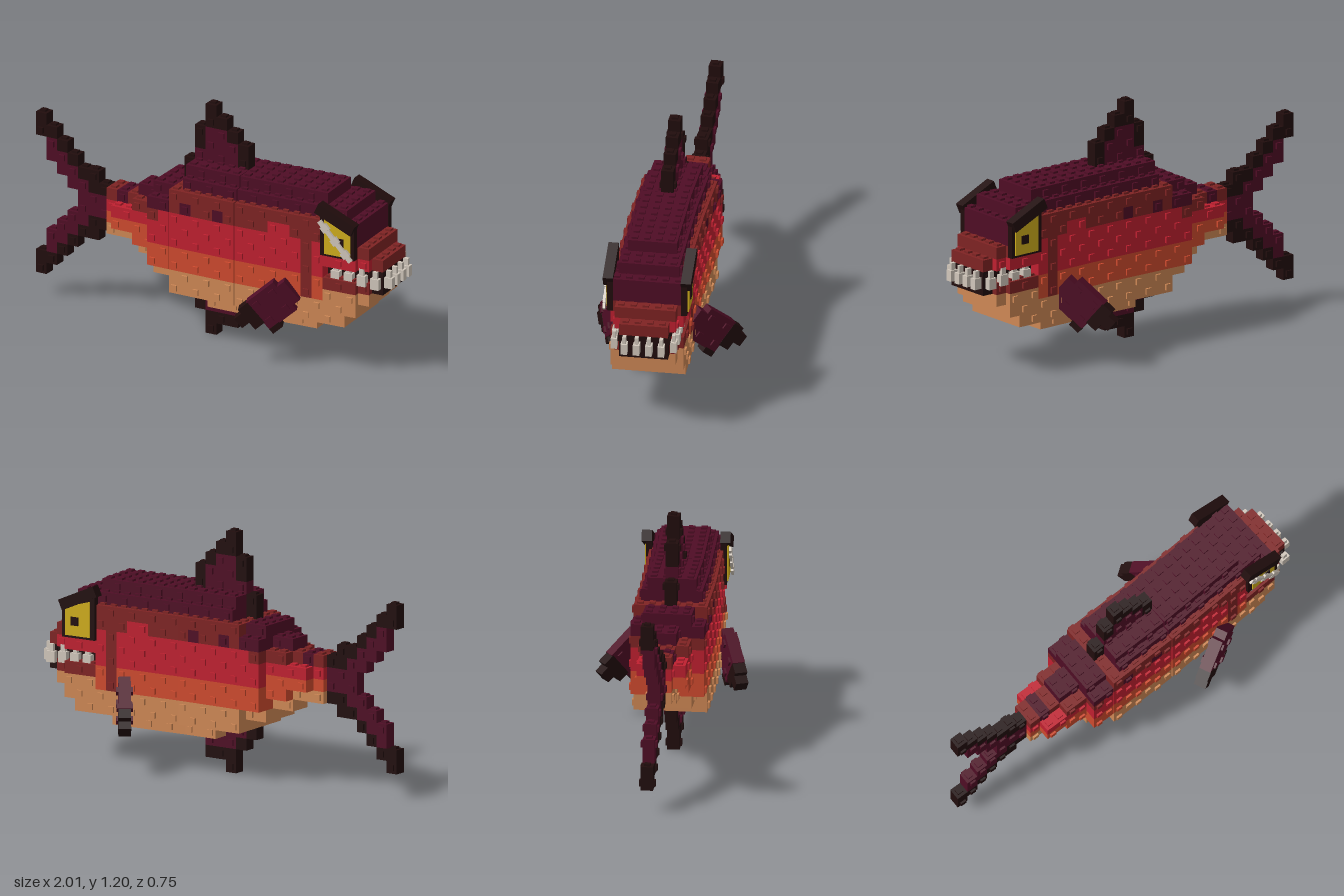
import * as THREE from 'three';
import { mergeGeometries } from 'three/addons/utils/BufferGeometryUtils.js';

const S = 0.0595, X0 = -0.59, Y0 = 0.18, CZ = 0.042; // block size and grid origin

const mat = (name, color) => Object.assign(new THREE.MeshStandardMaterial({ color }), { name });
const MATS = {
  M: mat('maroon', 0x4f0d25), D: mat('darkRed', 0x7f2323), R: mat('red', 0xc02030),
  O: mat('orange', 0xcf4a2e), T: mat('tan', 0xcf8855), K: mat('nearBlack', 0x210d0d),
  Y: mat('yellow', 0xd0ae1c), W: mat('bone', 0xd2c8bc),
};

// Body block colours, top row (11) to bottom row (0), tail to nose
const r = (c, n) => c.repeat(n);
const BODY = [
  r('.', 8) + r('M', 13) + r('.', 5),
  r('.', 8) + r('M', 15) + r('.', 3),
  '.....MM' + r('D', 14) + 'MMM..',
  '...MMMM' + 'DMDDMDDDDRRDDD' + 'MMM..',
  'DMDDDDR' + r('R', 12) + 'DRDDDD.',
  r('R', 19) + 'DRRRRRD',
  'OOOOO' + r('R', 14) + 'DRKKKKK',
  'TTT' + r('O', 16) + 'DODDDDK',
  '...TT' + r('O', 14) + 'DOTTTT.',
  r('.', 5) + r('T', 19) + '..',
  r('.', 7) + r('T', 16) + '...',
  r('.', 10) + r('T', 10) + r('.', 6),
];
const DORSAL = ['..K...', '..KK..', '.KMMK.', '.KMMMK', '.MMMMK', 'K.....', 'K.....'];
const BELLY = ['KMM...', '.KMMM.', '..KKK.', '..K...'];
const TAIL_HALF = ['K......', 'KK.....', '.MK....', '.MMK...', '..MMKK.', '...MMKK', '....MMM'];
const TAIL = [...TAIL_HALF, ...[...TAIL_HALF].reverse()];

function box(w, h, d, x, y, z) {
  return new THREE.BoxGeometry(w, h, d).translate(x, y, z);
}

// Half width of a body block, in blocks
function bodyHalf(col, row) {
  const at = (q) => (q < 0 || q > 11 ? '.' : BODY[11 - q][col]);
  if (at(row) === '.') return 0;
  const byRow = { 11: 2, 10: 2.5, 0: 2 }[row] ?? 3;
  const byCol = col === 0 ? 1 : col < 5 ? 2 : col === 24 ? 2.5 : col === 25 ? 2 : 3;
  let h = Math.min(byRow, byCol, at(row) === 'K' ? 2 : 3);
  if (col < 7 && (at(row + 1) === '.' || at(row - 1) === '.')) h = Math.max(1, h - 1);
  return h;
}

// Studded blocks from a colour map, one merged mesh per colour
function blocks(name, map, col0, topRow, from, to, pivotX, half) {
  const parts = {};
  const group = new THREE.Group();
  group.name = name;
  map.forEach((line, i) => [...line].forEach((c, j) => {
    const col = col0 + j, row = topRow - i;
    if (c === '.' || col < from || col > to) return;
    const list = (parts[c] ??= []);
    const h = half(col, row), above = half(col, row + 1);
    const x = X0 + (col + 0.5) * S - pivotX, y = Y0 + (row + 0.5) * S;
    list.push(box(S, S, 2 * h * S, x, y, 0));
    if ((col + row) % 2 === 0) {
      for (const s of [-1, 1]) list.push(box(0.03, 0.03, 0.01, x, y, s * (h * S + 0.005)));
    }
    for (let k = -h + 0.5; k < h; k++) {
      if (Math.abs(k) + 0.3 > above) list.push(box(0.03, 0.01, 0.03, x, y + S / 2 + 0.005, k * S));
    }
  }));
  for (const c in parts) {
    const m = new THREE.Mesh(mergeGeometries(parts[c]), MATS[c]);
    m.name = name + '_' + MATS[c].name;
    group.add(m);
  }
  return group;
}

function finHalf(map, col0, topRow) {
  return (col, row) => ((map[topRow - row]?.[col - col0] ?? '.') === '.' ? 0 : 0.5);
}
function fin(name, map, col0, topRow, pivotX) {
  return blocks(name, map, col0, topRow, -99, 99, pivotX, finHalf(map, col0, topRow));
}

function mesh(name, geo, m) {
  const o = new THREE.Mesh(geo, m);
  o.name = name;
  return o;
}

// Polygon plate facing +z between two depths
function plate(points, z, depth) {
  const shape = new THREE.Shape(points.map(([x, y]) => new THREE.Vector2(x, y)));
  return new THREE.ExtrudeGeometry(shape, { depth, bevelEnabled: false }).translate(0, 0, z);
}

function eye(side) {
  const g = new THREE.Group();
  g.name = side > 0 ? 'leftEye' : 'rightEye';
  const z = (from, depth) => (side > 0 ? from : -from - depth);
  g.add(mesh('eyeFrame', plate([[0.655, 0.6], [0.84, 0.6], [0.84, 0.78], [0.655, 0.86]], z(0.165, 0.03), 0.03), MATS.K));
  g.add(mesh('iris', plate([[0.68, 0.612], [0.82, 0.612], [0.82, 0.75], [0.68, 0.79]], z(0.195, 0.006), 0.006), MATS.Y));
  g.add(mesh('pupil', box(0.042, 0.042, 0.006, 0.765, 0.685, side * 0.204), MATS.K));
  const brow = mesh('brow', new THREE.BoxGeometry(0.215, 0.055, 0.05), MATS.K);
  brow.position.set(0.742, 0.803, side * 0.19);
  brow.rotation.z = -0.42;
  g.add(brow);
  return g;
}

// Scar across the left eye
function scar() {
  const bits = [box(0.25, 0.024, 0.012, 0, 0, 0)];
  for (const x of [-0.08, 0, 0.08]) bits.push(box(0.035, 0.042, 0.014, x, 0, 0));
  const m = mesh('scar', mergeGeometries(bits), MATS.W);
  m.position.set(0.745, 0.692, 0.212);
  m.rotation.z = -0.82;
  return m;
}

function teeth() {
  const list = [];
  const tooth = (x, y, z, w, d) => {
    list.push(box(w, 0.055, d, x, y + 0.0275, z));
    list.push(box(w * 0.55, 0.035, d * 0.55, x, y + 0.0725, z));
  };
  for (const s of [-1, 1]) {
    for (const x of [0.72, 0.79, 0.86]) tooth(x, 0.462, s * 0.15, 0.046, 0.03);
    tooth(0.93, 0.455, s * 0.145, 0.046, 0.03);
  }
  for (const z of [-0.09, -0.03, 0.03, 0.09]) tooth(0.976, 0.452, z, 0.046, 0.032);
  return mesh('teeth', mergeGeometries(list), MATS.W);
}

// Tilted side fin: maroon paddle with black trailing tip
function pectoral(name, pos, yaw, tilt) {
  const g = new THREE.Group();
  g.name = name;
  const paddle = [box(0.17, 0.18, 0.06, 0, 0, 0), box(0.06, 0.12, 0.06, -0.1, 0, 0)];
  for (const s of [-1, 1]) for (const x of [-0.05, 0.05]) for (const y of [-0.05, 0.05]) {
    paddle.push(box(0.03, 0.03, 0.01, x, y, s * 0.035));
  }
  g.add(mesh('finPaddle', mergeGeometries(paddle), MATS.M));
  g.add(mesh('finTip', mergeGeometries([
    box(0.06, 0.13, 0.062, 0.11, 0.02, 0), box(0.05, 0.06, 0.062, 0.16, 0.03, 0),
    box(0.06, 0.03, 0.062, 0.055, -0.1, 0),
  ]), MATS.K));
  g.position.set(...pos);
  g.rotation.order = 'YXZ';
  g.rotation.set(0, yaw, tilt);
  return g;
}

export function createModel() {
  const model = new THREE.Group();
  model.name = 'fish';
  const front = new THREE.Group();
  front.name = 'frontHalf';
  front.position.z = CZ;
  model.add(front);
  const body = (name, from, to, px) => blocks(name, BODY, 0, 11, from, to, px, bodyHalf);

  // Head and front body
  front.add(body('frontBody', 13, 25, 0), eye(1), eye(-1), scar(), teeth());
  front.add(pectoral('leftPectoralFin', [0.415, 0.315, 0.235], Math.PI + 0.38, -0.7));
  front.add(pectoral('rightPectoralFin', [0.45, 0.315, -0.25], Math.PI - 1.0, -0.7));

  // Middle, rear and tail segments, each bending slightly to the side
  let parent = front, lastX = 0;
  const segment = (name, col, bend, build) => {
    const x = X0 + col * S;
    const g = new THREE.Group();
    g.name = name;
    g.position.x = x - lastX;
    g.rotation.y = -bend;
    g.add(...build(x));
    parent.add(g);
    parent = g;
    lastX = x;
  };
  segment('middle', 13, 0.04, (x) => [body('middleBody', 7, 12, x),
    fin('dorsalFin', DORSAL, 7, 16, x), fin('bellyFin', BELLY, 7, 0, x)]);
  segment('rear', 7, 0.015, (x) => [body('rearBody', 0, 6, x)]);
  segment('tail', 0, 0.015, (x) => [fin('tailFin', TAIL, -7, 12, x)]);
  return model;
}
